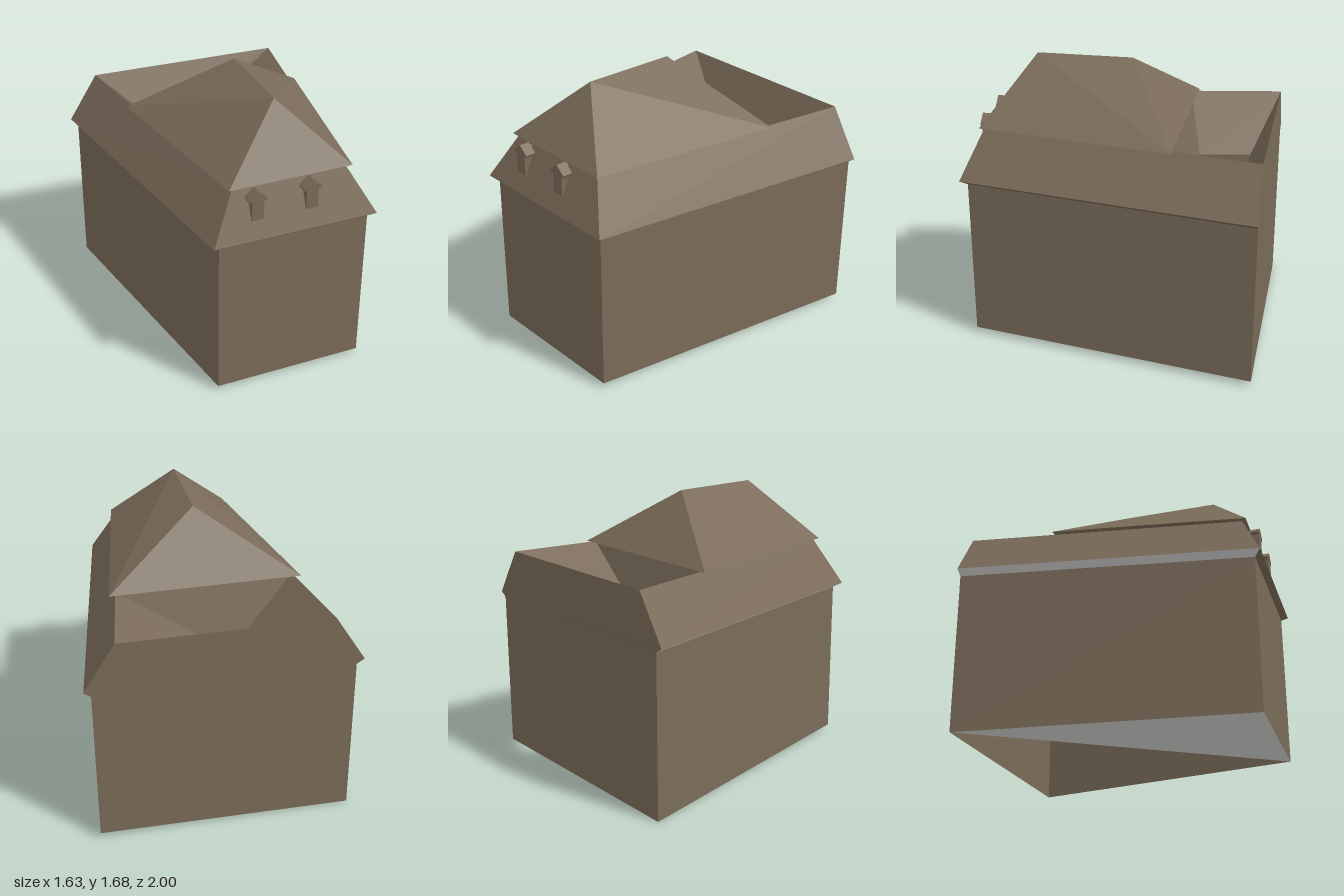
import * as THREE from 'three';

const brown = new THREE.MeshStandardMaterial({ color: 0x7a6b59, side: THREE.DoubleSide, flatShading: true });
brown.name = 'brown masonry and tile';
const pale = new THREE.MeshStandardMaterial({ color: 0xdedddc, side: THREE.DoubleSide, flatShading: true });
pale.name = 'pale underside';

// Flat polygons (corners counter-clockwise from outside), fanned into triangles
function faces(name, polygons, material = brown) {
  const pos = [];
  for (const p of polygons)
    for (let i = 1; i < p.length - 1; i++) pos.push(...p[0], ...p[i], ...p[i + 1]);
  const g = new THREE.BufferGeometry();
  g.setAttribute('position', new THREE.Float32BufferAttribute(pos, 3));
  g.computeVertexNormals();
  const m = new THREE.Mesh(g, material);
  m.name = name;
  return m;
}

// Ring of corners: front left, front right, back right, back left (as seen from the front)
const ring = (y, ...xz) => xz.map(([x, z]) => [x, y, z]);
// Side face i between two rings
const side = (a, b, i) => {
  const j = (i + 1) % 4;
  return [a[i], a[j], b[j], b[i]];
};

function extrude(points, depth) {
  const shape = new THREE.Shape(points.map(([x, y]) => new THREE.Vector2(x, y)));
  const g = new THREE.ExtrudeGeometry(shape, { depth, bevelEnabled: false });
  g.translate(0, 0, -depth);
  return g;
}

// Small gabled dormer standing on the front roof slope
function dormer(x, z) {
  const d = new THREE.Group();
  d.name = 'dormer';
  const body = new THREE.Mesh(
    extrude([[-0.036, 1.137], [0.036, 1.137], [0.036, 1.265], [0, 1.3], [-0.036, 1.265]], 0.08), brown);
  body.name = 'dormerBody';
  const hood = new THREE.Mesh(
    extrude([[-0.058, 1.268], [-0.05, 1.25], [0, 1.285], [0.05, 1.25], [0.058, 1.268], [0, 1.317]], 0.062), brown);
  hood.name = 'dormerHood';
  hood.position.z = 0.002;
  d.add(body, hood);
  d.position.set(x, 0, z);
  d.rotation.y = 0.205;
  return d;
}

export function createModel() {
  const model = new THREE.Group();
  model.name = 'house';

  const plan = [[-0.14, 0.95], [0.765, 0.76], [0.72, -0.992], [-0.77, -0.718]];
  const base = ring(0.03, ...plan);
  base[3][1] = 0;
  const top = ring(1, ...plan);
  const eave = ring(1.03, [-0.175, 0.997], [0.812, 0.79], [0.76, -1], [-0.815, -0.71]);
  const ridge = ring(1.32, [-0.045, 0.842], [0.63, 0.7], [0.58, -0.967], [-0.635, -0.743]);

  // Walls, with the back one rising into a gable
  model.add(faces('walls', [0, 1, 3].map(i => side(base, top, i))));
  model.add(faces('backGable', [
    side(base, top, 2),
    [top[2], top[3], eave[3], ridge[3], ridge[2], eave[2]],
  ]));
  // Half of the base is closed
  model.add(faces('floor', [[base[0], base[3], base[1]]], pale));

  // Eave undersides and lower roof slopes
  model.add(faces('eaves', [0, 1].map(i => side(top, eave, i))));
  model.add(faces('leftEave', [side(top, eave, 3)], pale));
  model.add(faces('lowerRoof', [0, 1, 3].map(i => side(eave, ridge, i))));

  // Inner slopes falling to the open courtyard
  const rim = ring(1.32, [-0.437, -0.21], [0.597, -0.41], [0.58, -0.967], [-0.635, -0.743]);
  const hole = ring(1.01, [-0.155, -0.365], [0.09, -0.41], [0.085, -0.73], [-0.265, -0.66]);
  model.add(faces('courtyardRoof', [0, 1, 2, 3].map(i => side(hole, rim, i).reverse())));

  // Upper hipped roof, overhanging the lower one
  const [fl, fr, br, bl] = ring(1.321, [-0.07, 0.875], [0.67, 0.72], [0.632, -0.455], [-0.49, -0.245]);
  const front = [0.25, 1.685, 0.53], back = [0.14, 1.685, -0.035];
  model.add(faces('upperRoof', [
    [fl, fr, front], [fr, br, front], [br, back, front],
    [br, bl, back], [bl, front, back], [bl, fl, front],
  ]));

  model.add(dormer(0.087, 0.903), dormer(0.412, 0.833));
  return model;
}
